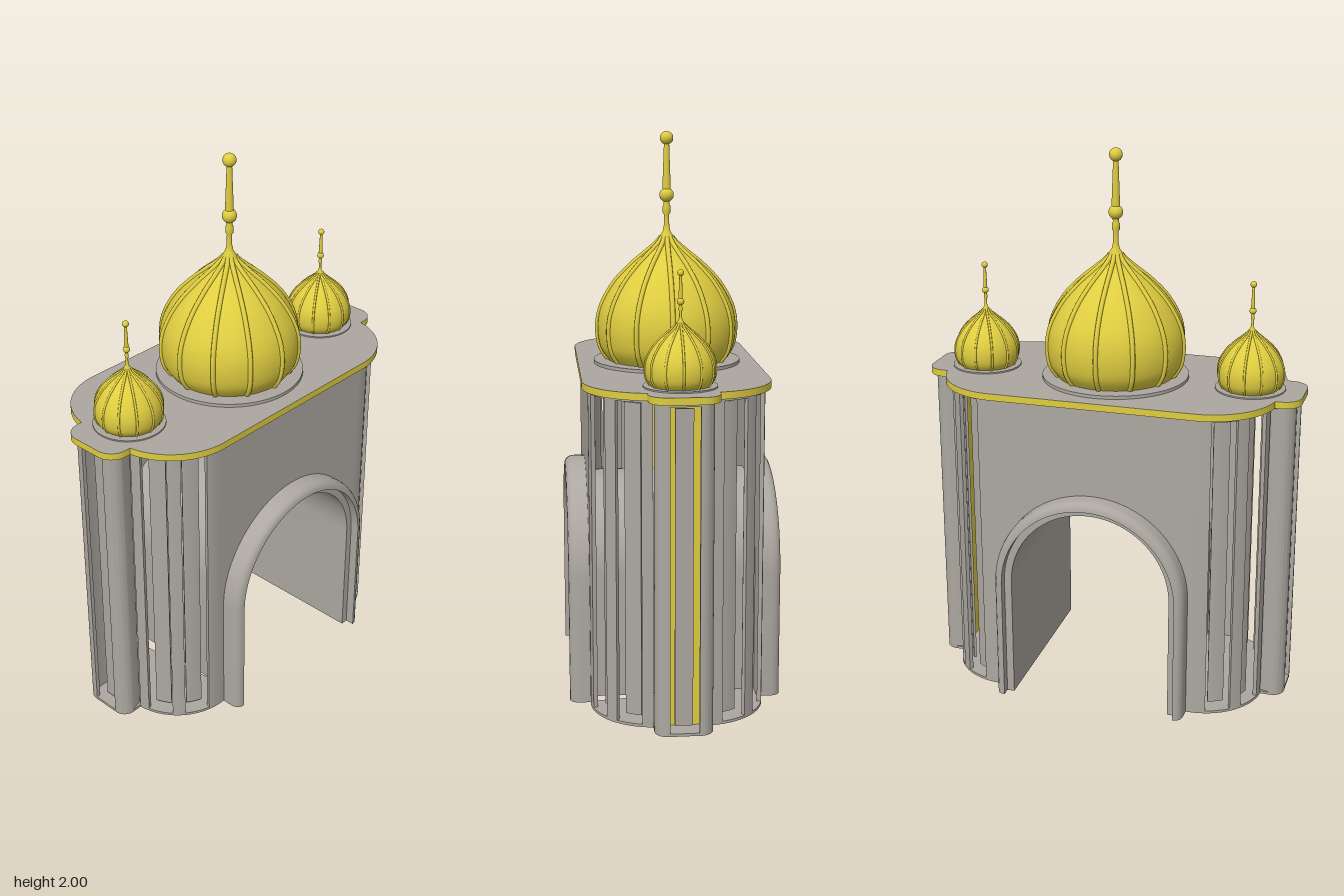
import * as THREE from 'three';
import { toCreasedNormals } from 'three/addons/utils/BufferGeometryUtils.js';

const stone = new THREE.MeshStandardMaterial({ color: 0xaca7a0 });
stone.name = 'grey stone';
const gold = new THREE.MeshStandardMaterial({ color: 0xdfcd40 });
gold.name = 'gold';

const V = (x, y) => new THREE.Vector2(x, y);
const ARCH_Y = 0.457;             // springing height of the arch
const CX = 0.37, CZ = 0.08;       // centre of the rounded corners

function add(parent, name, geo, mat) {
  const mesh = new THREE.Mesh(geo, mat);
  mesh.name = name;
  parent.add(mesh);
  return mesh;
}

// Extrude a plan (x, z) upward from y0 to y1
function plan(shape, y0, y1) {
  const g = new THREE.ExtrudeGeometry(shape, { depth: y1 - y0, bevelEnabled: false, curveSegments: 16 });
  g.rotateX(-Math.PI / 2).translate(0, y0, 0);
  return toCreasedNormals(g, 0.6);
}

// Right half of the plan: rounded corners with a lobe at the end
function halfOutline(x0, grow) {
  const s = new THREE.Shape(), r = 0.225 + grow, lx = 0.677 + grow, lz = 0.1 + grow, lr = 0.045 + grow;
  const join = Math.asin((lz - CZ) / r);
  s.moveTo(x0, -CZ - r);
  s.absarc(CX, -CZ, r, -Math.PI / 2, -join, false);
  s.absarc(lx - lr, -lz + lr, lr, -Math.PI / 2, 0, false);
  s.absarc(lx - lr, lz - lr, lr, 0, Math.PI / 2, false);
  s.absarc(CX, CZ, r, join, Math.PI / 2, false);
  s.lineTo(x0, CZ + r);
  return s.getPoints(16);
}
function fullOutline(grow) {
  const p = halfOutline(0.01, grow);
  return new THREE.Shape([...p, ...p.map(v => V(-v.x, -v.y))]);
}

// Thin wall facing z with an arched doorway
function archWall(hx, y1, depth, r) {
  const s = new THREE.Shape();
  s.moveTo(r, 0);
  s.lineTo(hx, 0);
  s.lineTo(hx, y1);
  s.lineTo(-hx, y1);
  s.lineTo(-hx, 0);
  s.lineTo(-r, 0);
  s.lineTo(-r, ARCH_Y);
  s.absarc(0, ARCH_Y, r, Math.PI, 0, true);
  s.lineTo(r, 0);
  const g = new THREE.ExtrudeGeometry(s, { depth, bevelEnabled: false, curveSegments: 40 });
  return toCreasedNormals(g.translate(0, 0, -depth / 2), 0.6);
}

// Sweep a closed (radius, z) profile up, over and down the arch
function archSweep(profile) {
  const steps = [[0, 0]], n = profile.length, pos = [], idx = [];
  for (let i = 0; i <= 40; i++) steps.push([Math.PI * i / 40, ARCH_Y]);
  steps.push([Math.PI, 0]);
  for (const [a, y] of steps)
    for (const p of profile) pos.push(p.x * Math.cos(a), y + p.x * Math.sin(a), p.y);
  for (let i = 0; i < steps.length - 1; i++)
    for (let j = 0; j < n; j++) {
      const a = i * n + j, b = i * n + (j + 1) % n;
      idx.push(a, a + n, b, b, a + n, b + n);
    }
  const g = new THREE.BufferGeometry();
  g.setAttribute('position', new THREE.Float32BufferAttribute(pos, 3));
  g.setIndex(idx);
  return toCreasedNormals(g, 0.7);
}

// Ribbed onion dome with base disc and finial, base at y = 0
function onionDome(name) {
  const dome = new THREE.Group();
  dome.name = name;
  const pts = new THREE.SplineCurve([V(0.212, 0), V(0.243, 0.05), V(0.252, 0.125), V(0.237, 0.2), V(0.192, 0.28),
    V(0.131, 0.345), V(0.077, 0.39), V(0.036, 0.425), V(0.02, 0.445)]).getPoints(40);
  add(dome, 'domeShell', new THREE.LatheGeometry(pts, 64), gold);
  const path = new THREE.CatmullRomCurve3(pts.map(p => new THREE.Vector3(p.x, p.y, 0)));
  const rib = new THREE.TubeGeometry(path, 40, 0.009, 8);
  for (let i = 0; i < 12; i++) add(dome, 'domeRib', rib, gold).rotation.y = i * Math.PI / 6;
  add(dome, 'domeBase', new THREE.CylinderGeometry(0.267, 0.267, 0.012, 64).translate(0, -0.004, 0), stone);
  const rod = [V(0.03, 0.43), V(0.026, 0.447), V(0.014, 0.465), V(0.01, 0.485), V(0.009, 0.525), V(0.014, 0.532),
    V(0.014, 0.555), V(0.01, 0.56), V(0.012, 0.575), V(0.015, 0.62), V(0.009, 0.79)];
  add(dome, 'finialRod', new THREE.LatheGeometry(rod, 20), gold);
  add(dome, 'finialLowerBall', new THREE.SphereGeometry(0.026, 24, 16).translate(0, 0.595, 0), gold);
  add(dome, 'finialTopBall', new THREE.SphereGeometry(0.024, 24, 16).translate(0, 0.796, 0), gold);
  return dome;
}

export function createModel() {
  const model = new THREE.Group();
  model.name = 'domedGateway';

  // Front and back walls
  const wall = archWall(CX, 1.145, 0.015, 0.303);
  for (const s of [1, -1]) add(model, s > 0 ? 'frontWall' : 'backWall', wall, stone).position.z = s * 0.2975;

  // Rounded corners: wall ends and a bar at the face, slender panels set back in the slits
  const deg = Math.PI / 180;
  [[1, 1], [-1, 1], [-1, -1], [1, -1]].forEach(([sx, sz], k) => {
    const arc = (name, a0, a1, r, t, y0, y1) => {
      const s = new THREE.Shape(), b = k * 90;
      s.absarc(sx * CX, sz * CZ, r, (b + a0) * deg, (b + a1) * deg, false);
      s.absarc(sx * CX, sz * CZ, r - t, (b + a1) * deg, (b + a0) * deg, true);
      add(model, name, plan(s, y0, y1), stone);
    };
    // the wall end beside the lobe alternates between corners
    arc('cornerWall', k % 2 ? 0 : 5, 15, 0.225, 0.015, 0, 1.145);
    arc('cornerWall', 75, k % 2 ? 85 : 90, 0.225, 0.015, 0, 1.145);
    arc('cornerBar', 39, 51, 0.225, 0.015, 0, 1.145);
    arc('slitPanel', 18, 36.5, 0.185, 0.01, 0.025, 1.125);
    arc('slitPanel', 53.5, 72, 0.185, 0.01, 0.025, 1.125);
  });

  // One side of the hollow end lobe, beside its tall opening
  const jamb = m => {
    const s = new THREE.Shape();
    s.moveTo(0.583, 0.1);
    s.absarc(0.632, 0.055, 0.045, Math.PI / 2, 0, true);
    s.lineTo(0.677, 0.05);
    s.lineTo(0.662, 0.05);
    s.absarc(0.632, 0.055, 0.03, 0, Math.PI / 2, false);
    s.lineTo(0.583, 0.085);
    return plan(new THREE.Shape(s.getPoints(16).map(p => V(p.x, m * p.y))), 0, 1.145);
  };

  // Arch surround with a recessed inner rim, and the tunnel lining
  const lip = [V(0.357, 0.3), V(0.357, 0.345), V(0.354, 0.359), V(0.347, 0.37), V(0.337, 0.376), V(0.324, 0.378),
    V(0.324, 0.345), V(0.297, 0.345)];
  const profile = [...lip.map(p => V(p.x, -p.y)).reverse(), V(0.303, -0.3), V(0.303, 0.3), ...lip];
  add(model, 'archSurround', archSweep(profile), stone);
  const footGeo = new THREE.ShapeGeometry(new THREE.Shape(profile)).rotateX(Math.PI / 2);

  // Both ends
  const floorGeo = plan(new THREE.Shape(halfOutline(0.298, 0)), 0, 0.01);
  const jambs = [jamb(1), jamb(-1)];
  const backGeo = new THREE.BoxGeometry(0.008, 1.125, 0.12).translate(0.6, 0.5725, 0);
  const endPanelGeo = new THREE.BoxGeometry(0.01, 1.1, 0.062).translate(0.635, 0.573, 0);
  for (const side of ['left', 'right']) {
    const end = new THREE.Group();
    end.name = side + 'End';
    add(end, 'floor', floorGeo, stone);
    for (const g of jambs) add(end, 'lobeJamb', g, stone);
    add(end, 'lobeBacking', backGeo, gold);
    add(end, 'lobePanel', endPanelGeo, stone);
    add(end, 'surroundFoot', footGeo, stone);
    if (side === 'right') end.rotation.y = Math.PI;
    model.add(end);
  }

  // Lintel and gold-edged roof slab
  add(model, 'lintel', plan(fullOutline(0), 1.135, 1.146), stone);
  add(model, 'roofSlab', plan(fullOutline(0.02), 1.145, 1.17), [stone, gold]);

  // Domes
  const main = onionDome('mainDome');
  main.position.y = 1.18;
  model.add(main);
  for (const s of [1, -1]) {
    const small = onionDome(s > 0 ? 'leftDome' : 'rightDome');
    small.scale.setScalar(0.472);
    small.position.set(s * 0.5, 1.174, 0);
    model.add(small);
  }
  return model;
}
